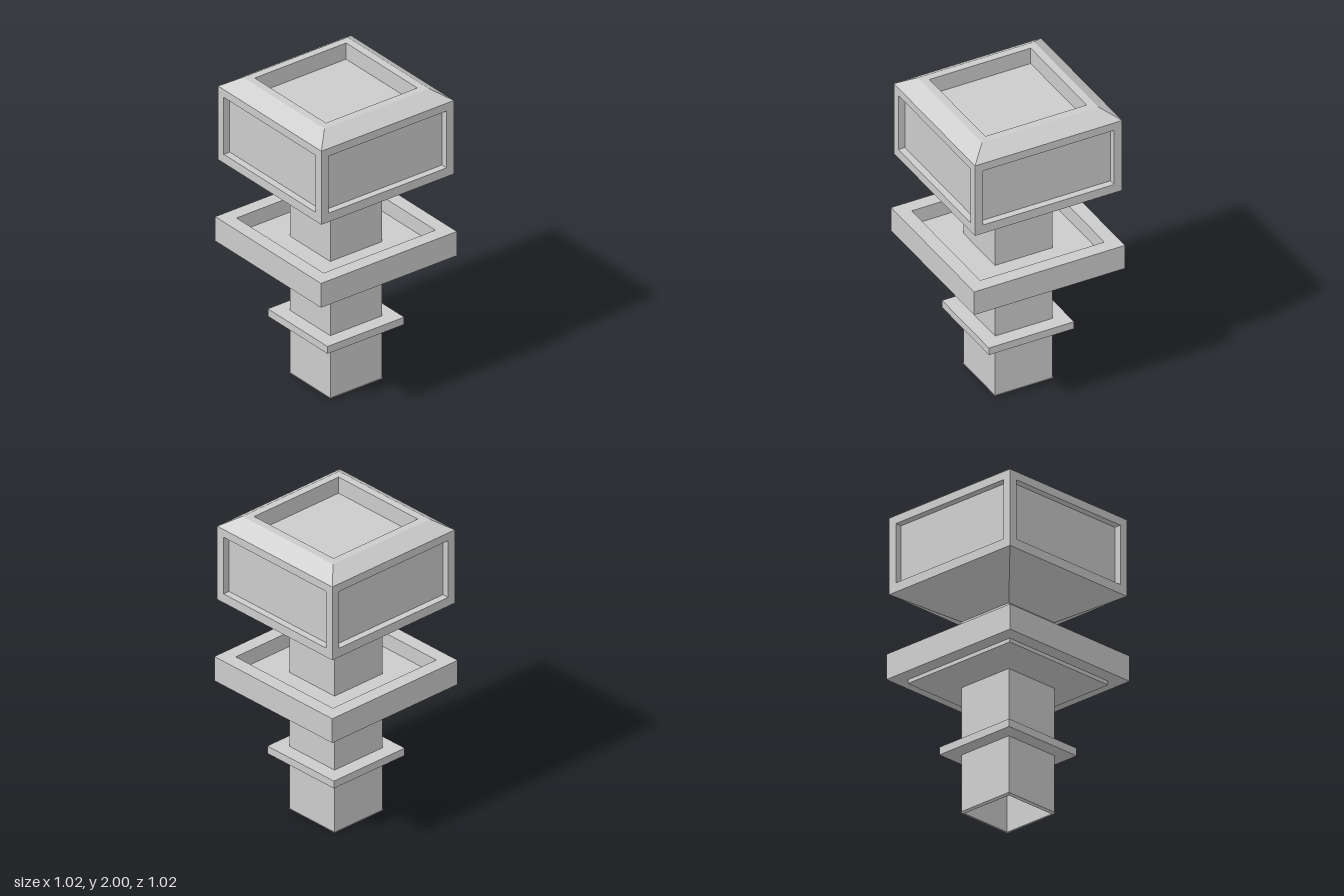
import * as THREE from 'three';

const stone = new THREE.MeshStandardMaterial({ color: 0xcccccc, side: THREE.DoubleSide });
stone.name = 'light grey';

// Four-sided lathe from [half width, height] points, with flat faces
function squareLathe(points) {
  const profile = points.map(([w, y]) => new THREE.Vector2(w * Math.SQRT2, y));
  return new THREE.LatheGeometry(profile, 4, Math.PI / 4);
}

function addPart(parent, name, geometry) {
  const flat = geometry.index ? geometry.toNonIndexed() : geometry;
  flat.computeVertexNormals();
  const mesh = new THREE.Mesh(flat, stone);
  mesh.name = name;
  parent.add(mesh);
  return mesh;
}

function rectangle(PathType, w, y0, y1) {
  const path = new PathType();
  path.moveTo(-w, y0);
  path.lineTo(w, y0);
  path.lineTo(w, y1);
  path.lineTo(-w, y1);
  path.closePath();
  return path;
}

export function createModel() {
  const model = new THREE.Group();
  model.name = 'squarePost';
  const pole = 0.195, head = 0.498;

  // Hollow post with a thin flared foot
  addPart(model, 'post', squareLathe([[0.188, 0], [0.2, 0.012], [pole, 0.012], [pole, 1.255]]));

  // Small collar
  addPart(model, 'collar', squareLathe(
    [[pole, 0.385], [0.288, 0.385], [0.288, 0.435], [pole, 0.435]]));

  // Tray: sloped underside, thin step, thick rim and sunken floor
  addPart(model, 'tray', squareLathe([
    [pole, 0.825], [0.42, 0.85], [0.42, 0.875], [0.51, 0.875], [0.51, 1.04],
    [0.42, 1.04], [0.42, 0.94], [pole, 0.94]]));

  // Head: flared underside, bevelled top with a square recess
  addPart(model, 'headUnderside', squareLathe([[pole, 1.255], [head, 1.43]]));
  addPart(model, 'headTop', squareLathe(
    [[head, 1.93], [0.393, 2], [0.343, 2], [0.343, 1.89], [0, 1.89]]));

  // Four head sides, each a frame around a recessed panel
  const y0 = 1.49, y1 = 1.877, w = 0.443, depth = 0.045;
  for (let i = 0; i < 4; i++) {
    const side = new THREE.Group();
    side.name = 'headSide' + (i + 1);
    side.rotation.y = i * Math.PI / 2;
    const face = rectangle(THREE.Shape, head, 1.43, 1.93);
    face.holes.push(rectangle(THREE.Path, w, y0, y1));
    addPart(side, 'frame', new THREE.ShapeGeometry(face).translate(0, 0, head));
    const recess = squareLathe([[1, 0], [1, -depth], [0, -depth]]);
    recess.rotateX(Math.PI / 2).scale(w, (y1 - y0) / 2, 1).translate(0, (y0 + y1) / 2, head);
    addPart(side, 'recessedPanel', recess);
    model.add(side);
  }
  return model;
}
